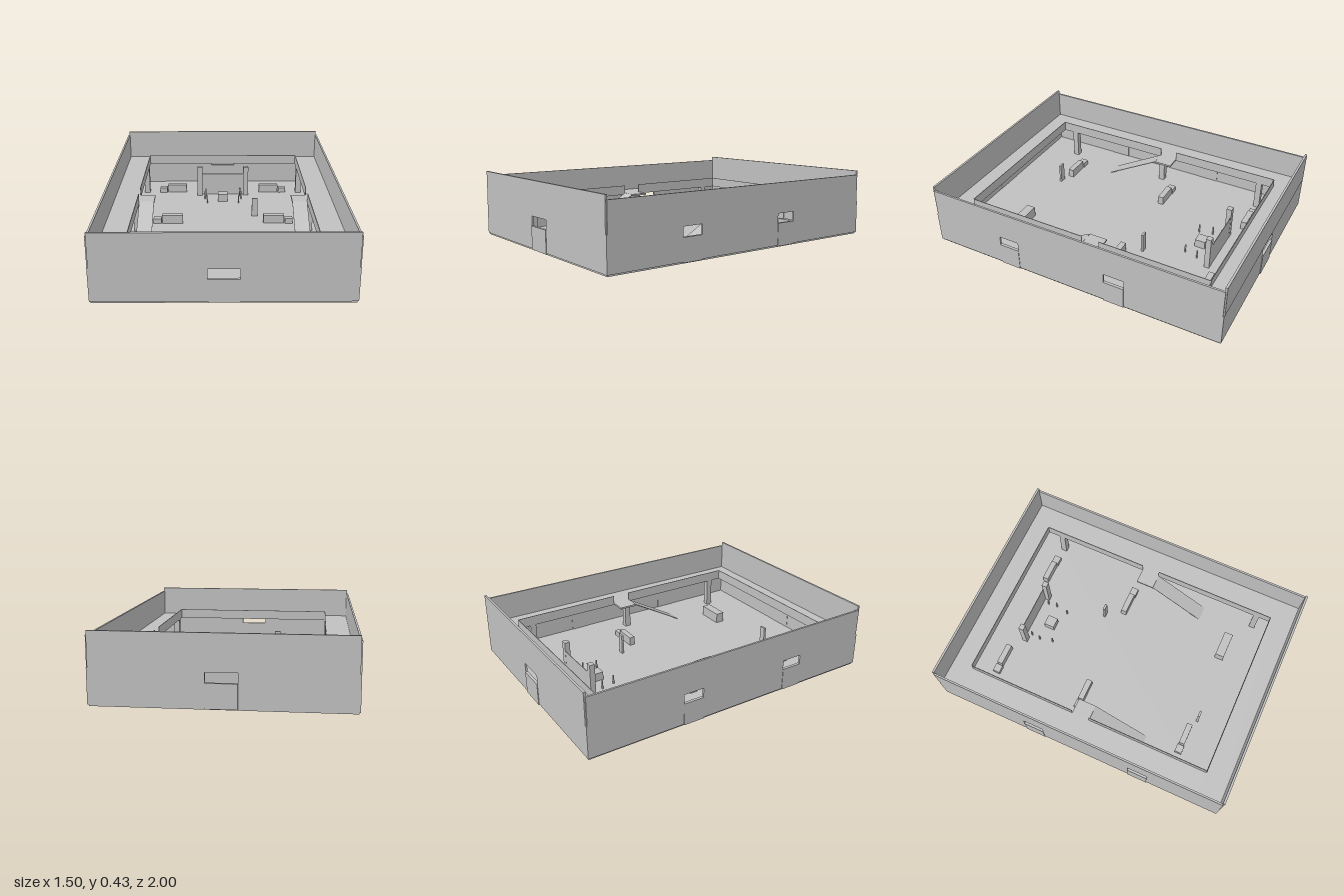
import * as THREE from 'three';

export function createModel() {
  const model = new THREE.Group();
  model.name = 'arena';
  const grey = new THREE.MeshStandardMaterial({ color: 0xc0c0c0 });
  grey.name = 'plain grey';

  // Box given by its minimum and maximum on each axis
  function block(name, x0, x1, y0, y1, z0, z1, parent = model) {
    const mesh = new THREE.Mesh(new THREE.BoxGeometry(x1 - x0, y1 - y0, z1 - z0), grey);
    mesh.position.set((x0 + x1) / 2, (y0 + y1) / 2, (z0 + z1) / 2);
    mesh.name = name;
    parent.add(mesh);
    return mesh;
  }

  // Flat wall with windows cut through, extruded along +z
  function wall(name, width, y0, y1, depth, windows) {
    const shape = new THREE.Shape([
      new THREE.Vector2(-width / 2, y0), new THREE.Vector2(width / 2, y0),
      new THREE.Vector2(width / 2, y1), new THREE.Vector2(-width / 2, y1),
    ]);
    for (const [a, b] of windows) {
      shape.holes.push(new THREE.Path([
        new THREE.Vector2(a, 0.15), new THREE.Vector2(a, 0.21),
        new THREE.Vector2(b, 0.21), new THREE.Vector2(b, 0.15),
      ]));
    }
    const mesh = new THREE.Mesh(
      new THREE.ExtrudeGeometry(shape, { depth, bevelEnabled: false }), grey);
    mesh.name = name;
    model.add(mesh);
    return mesh;
  }

  block('floor', -0.74, 0.74, 0, 0.01, -0.99, 0.99);

  // End walls, with one window and a sill panel each
  for (const s of [1, -1]) {
    const end = s > 0 ? 'front' : 'back';
    const lower = wall(end + 'LowerWall', 1.494, 0.01, 0.22, 0.012, [[-0.09, 0.09]]);
    lower.position.z = s > 0 ? 0.984 : -0.996;
    const z = s * 0.991;
    block(end + 'UpperWall', -0.74, 0.74, 0.22, 0.427, z - 0.007, z + 0.007);
    block(end + 'SillPanel', -0.09, 0.09, 0.005, 0.15, z - 0.009, z + 0.009);
  }

  // Long walls, with two windows and two sill panels each
  for (const s of [1, -1]) {
    const side = s > 0 ? 'left' : 'right';
    const openings = [[0.365, 0.5], [-0.375, -0.24]];
    const lower = wall(side + 'LowerWall', 1.98, 0.01, 0.22, 0.012,
      openings.map(([a, b]) => [-b, -a]));
    lower.rotation.y = Math.PI / 2; // local x becomes -z
    lower.position.x = s > 0 ? 0.735 : -0.747;
    const x = s * 0.741;
    block(side + 'UpperWall', x - 0.006, x + 0.006, 0.22, 0.4, -0.99, 0.99);
    for (const [a, b] of openings) {
      block(side + 'SillPanel', x - 0.009, x + 0.009, 0.005, 0.15, a, b);
    }
  }

  // Balcony ring with a parapet around its opening
  const balcony = new THREE.Group();
  balcony.name = 'balcony';
  model.add(balcony);
  const back = -0.84, front = 0.83, edge = 0.565;
  block('backDeck', -0.737, 0.737, 0.208, 0.22, -0.985, back, balcony);
  block('frontDeck', -0.737, 0.737, 0.208, 0.22, front, 0.985, balcony);
  block('backParapet', -edge, edge, 0.208, 0.275, back - 0.004, back, balcony);
  block('frontParapet', -edge, edge, 0.208, 0.275, front, front + 0.004, balcony);
  for (const s of [1, -1]) {
    const side = (name, a, b, y0, y1, z0, z1) => block(
      name, Math.min(s * a, s * b), Math.max(s * a, s * b), y0, y1, z0, z1, balcony);
    side('sideDeck', edge, 0.737, 0.208, 0.22, back, front);
    side('sideParapet', edge, edge + 0.004, 0.208, 0.275, back, -0.11);
    side('sideParapet', edge, edge + 0.004, 0.208, 0.275, 0.01, front);
    side('landing', 0.465, edge, 0.208, 0.22, -0.11, 0.01);

    // Ramp from the landing down to the floor
    const rise = 0.21, run = 0.37;
    const ramp = side('ramp', 0.465, edge, -0.002, 0.002, 0, Math.hypot(rise, run));
    ramp.rotation.x = Math.atan2(rise, run);
    ramp.position.set(s * 0.515, 0.113, 0.195);

    // Supporting pillars
    for (const z of [-0.74, 0, 0.74]) {
      side('pillar', edge, edge + 0.04, 0.01, 0.208, z - 0.02, z + 0.02);
    }
  }

  // Long crates, each with a small one beside it
  for (const [s, z] of [[-1, -0.748], [1, -0.748], [-1, -0.128], [1, -0.128], [-1, 0.615]]) {
    const x = s * 0.353, c = s * 0.458;
    block('longCrate', x - 0.072, x + 0.072, 0.01, 0.068, z - 0.019, z + 0.019);
    block('smallCrate', c - 0.027, c + 0.027, 0.01, 0.045, z - 0.024, z + 0.024);
  }
  block('largeCrate', 0.247, 0.425, 0.01, 0.08, 0.585, 0.645);

  // Upright slabs
  block('uprightSlab', 0.205, 0.245, 0.01, 0.145, -0.253, -0.238);
  block('uprightSlab', -0.232, -0.19, 0.01, 0.145, 0.642, 0.657);

  // Gate of two posts and a thin screen, with a pedestal and poles before it
  block('gateScreen', -0.16, 0.16, 0.01, 0.175, -0.694, -0.69);
  for (const s of [1, -1]) {
    const x = s * 0.175;
    block('gatePost', x - 0.019, x + 0.019, 0.01, 0.235, -0.695, -0.66);
    for (const [px, pz] of [[0.13, -0.65], [0.137, -0.587], [0.117, -0.497]]) {
      block('pole', s * px - 0.004, s * px + 0.004, 0.01, 0.07, pz - 0.004, pz + 0.004);
    }
  }
  block('pedestal', -0.036, 0.034, 0.01, 0.065, -0.597, -0.527);

  return model;
}
